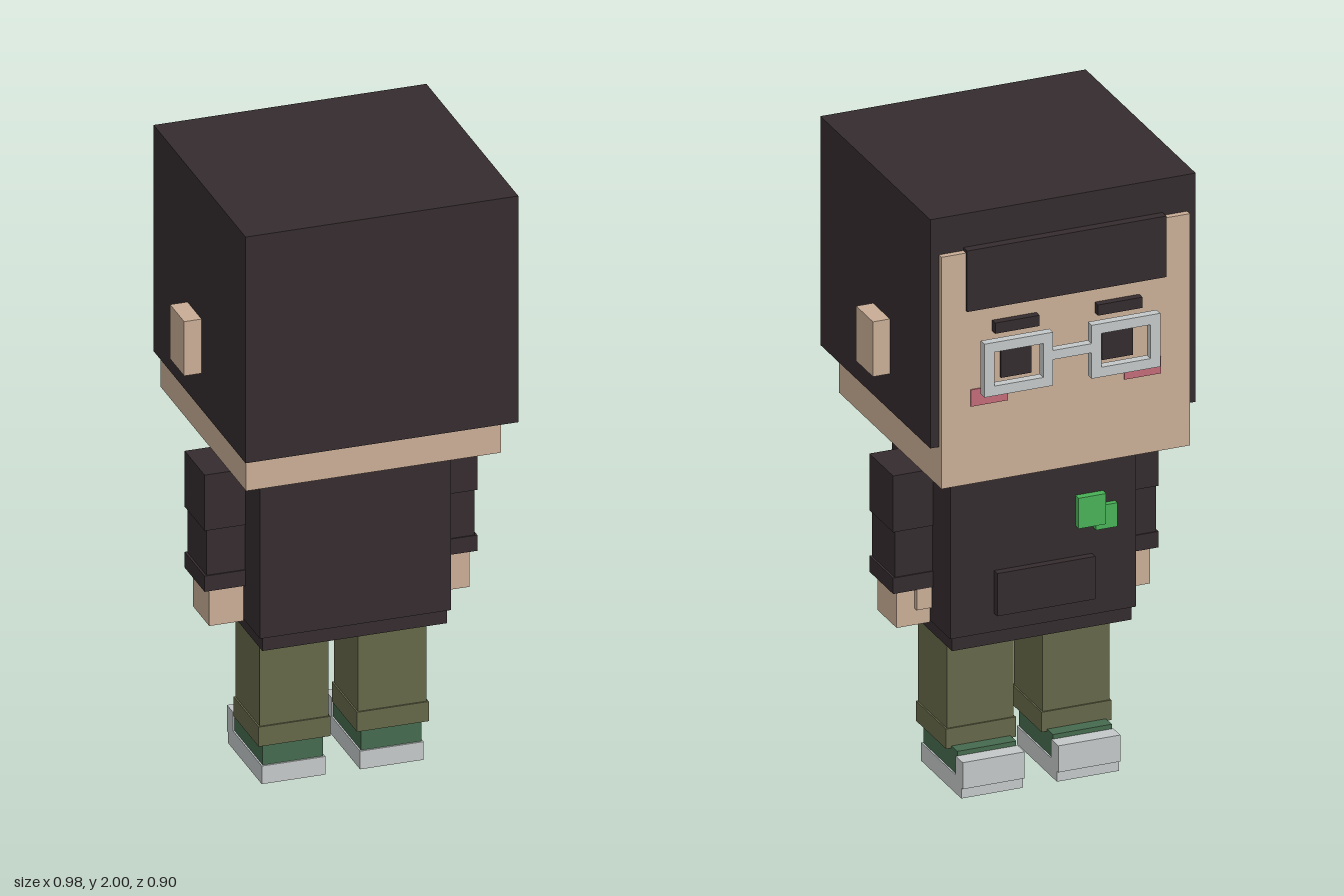
import * as THREE from 'three';

const mat = (name, color) => {
  const m = new THREE.MeshStandardMaterial({ color });
  m.name = name;
  return m;
};

export function createModel() {
  const root = new THREE.Group();
  root.name = 'blockFigure';

  const dark = mat('darkBrown', 0x352c2e);
  const skin = mat('skin', 0xcbaf97);
  const olive = mat('olive', 0x66694a);
  const green = mat('shoeGreen', 0x466b4f);
  const grey = mat('lightGrey', 0xc6caca);
  const badge = mat('badgeGreen', 0x49b357);
  const pink = mat('blush', 0xc46d78);

  const group = (name) => {
    const g = new THREE.Group();
    g.name = name;
    root.add(g);
    return g;
  };

  // Box from its limits on each axis
  const box = (parent, name, material, [x0, x1], [y0, y1], [z0, z1]) => {
    const mesh = new THREE.Mesh(new THREE.BoxGeometry(x1 - x0, y1 - y0, z1 - z0), material);
    mesh.position.set((x0 + x1) / 2, (y0 + y1) / 2, (z0 + z1) / 2);
    mesh.name = name;
    parent.add(mesh);
    return mesh;
  };
  // The same box on both sides of x = 0
  const pair = (parent, name, material, [x0, x1], y, z) => {
    box(parent, name + 'Left', material, [x0, x1], y, z);
    box(parent, name + 'Right', material, [-x1, -x0], y, z);
  };

  // Head, with the face towards -z
  const head = group('head');
  box(head, 'hair', dark, [-0.433, 0.433], [1.25, 2], [-0.38, 0.45]);
  box(head, 'face', skin, [-0.405, 0.405], [1.12, 1.88], [-0.4, 0.375]);
  box(head, 'fringe', dark, [-0.325, 0.325], [1.69, 1.89], [-0.409, -0.37]);
  pair(head, 'ear', skin, [0.42, 0.488], [1.37, 1.55], [-0.075, 0.052]);
  pair(head, 'eye', dark, [0.115, 0.215], [1.455, 1.57], [-0.41, -0.395]);
  pair(head, 'eyebrow', dark, [0.095, 0.24], [1.61, 1.645], [-0.424, -0.395]);
  pair(head, 'cheek', pink, [0.19, 0.31], [1.375, 1.43], [-0.404, -0.396]);

  // Glasses: two square rims and a bridge
  const glasses = group('glasses');
  const outer = new THREE.Shape();
  outer.moveTo(0.063, 1.42).lineTo(0.287, 1.42).lineTo(0.287, 1.595).lineTo(0.063, 1.595).closePath();
  const hole = new THREE.Path();
  hole.moveTo(0.095, 1.452).lineTo(0.095, 1.563).lineTo(0.255, 1.563).lineTo(0.255, 1.452).closePath();
  outer.holes.push(hole);
  const rimGeometry = new THREE.ExtrudeGeometry(outer, { depth: 0.028, bevelEnabled: false });
  for (const side of [0, 1]) {
    const rim = new THREE.Mesh(rimGeometry, grey);
    rim.name = side ? 'rimRight' : 'rimLeft';
    rim.position.set(side ? -0.35 : 0, 0, -0.451);
    glasses.add(rim);
  }
  box(glasses, 'bridge', grey, [-0.063, 0.063], [1.505, 1.535], [-0.451, -0.423]);

  // Torso
  const torso = group('torso');
  box(torso, 'neck', skin, [-0.12, 0.12], [1.07, 1.125], [-0.13, 0.11]);
  box(torso, 'collar', dark, [-0.185, 0.185], [1.06, 1.083], [-0.185, 0.165]);
  box(torso, 'jumper', dark, [-0.303, 0.303], [0.54, 1.07], [-0.23, 0.21]);
  box(torso, 'hem', dark, [-0.293, 0.293], [0.495, 0.55], [-0.22, 0.203]);
  box(torso, 'pocket', dark, [-0.16, 0.16], [0.6, 0.74], [-0.255, -0.22]);
  box(torso, 'badgeLarge', badge, [-0.195, -0.105], [0.84, 0.94], [-0.255, -0.22]);
  box(torso, 'badgeSmall', badge, [-0.235, -0.165], [0.822, 0.9], [-0.248, -0.22]);

  // Arms
  const arms = group('arms');
  pair(arms, 'upperSleeve', dark, [0.3, 0.433], [0.86, 1.045], [-0.1, 0.08]);
  pair(arms, 'lowerSleeve', dark, [0.3, 0.426], [0.7, 0.865], [-0.096, 0.076]);
  pair(arms, 'cuff', dark, [0.3, 0.433], [0.658, 0.71], [-0.1, 0.08]);
  pair(arms, 'hand', skin, [0.305, 0.413], [0.535, 0.665], [-0.08, 0.065]);
  pair(arms, 'thumb', skin, [0.305, 0.355], [0.59, 0.665], [-0.098, -0.07]);

  // Legs and shoes
  const legs = group('legs');
  pair(legs, 'trouserLeg', olive, [0.047, 0.265], [0.14, 0.484], [-0.117, 0.1]);
  pair(legs, 'trouserCuff', olive, [0.042, 0.27], [0.13, 0.195], [-0.122, 0.105]);
  pair(legs, 'shoe', green, [0.06, 0.252], [0.055, 0.137], [-0.166, 0.09]);
  pair(legs, 'sole', grey, [0.055, 0.257], [0, 0.06], [-0.207, 0.096]);
  pair(legs, 'toeCap', grey, [0.055, 0.257], [0.035, 0.122], [-0.218, -0.164]);

  return root;
}
